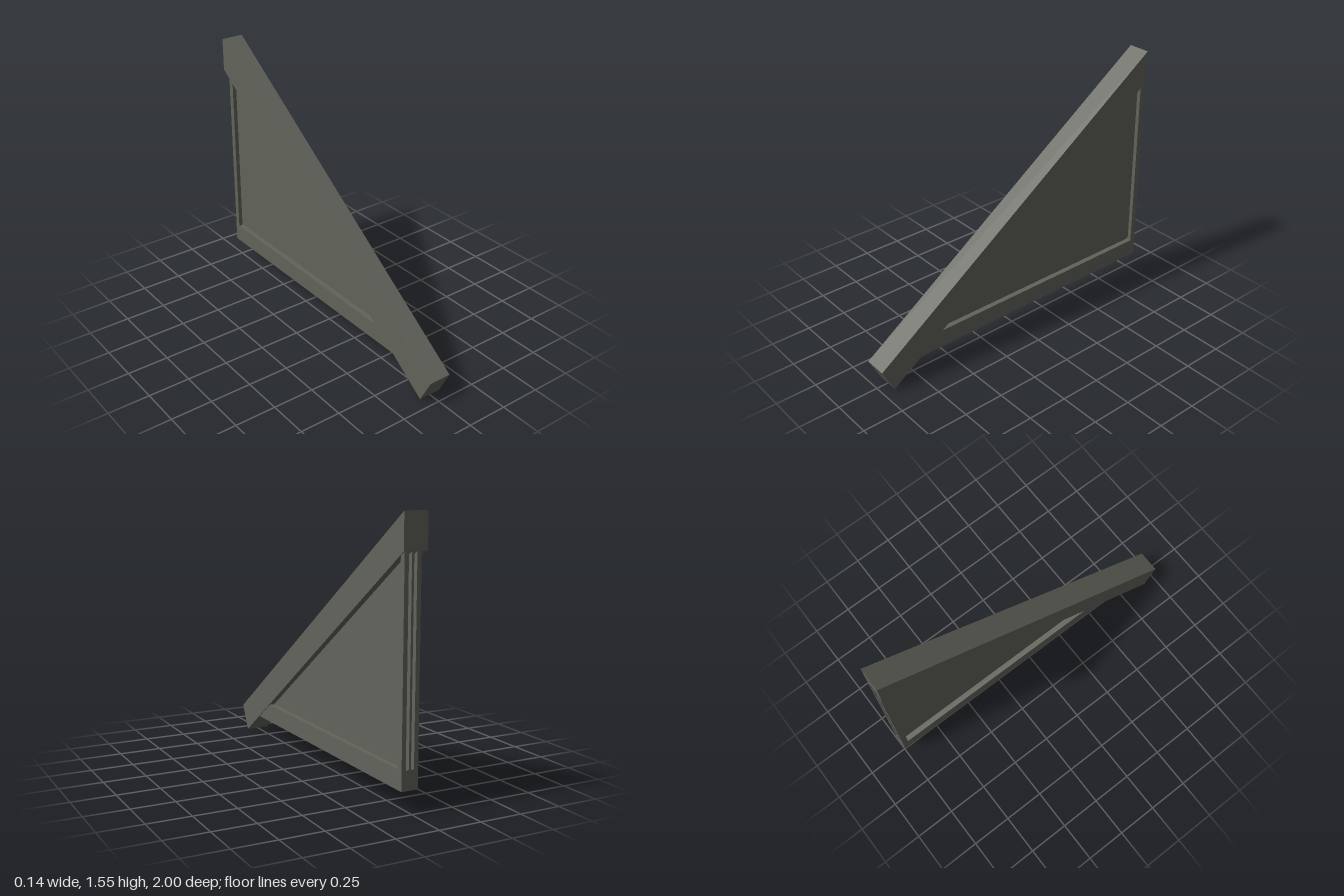
import * as THREE from 'three';

export function createModel() {
  const group = new THREE.Group();
  const greyWood = new THREE.MeshStandardMaterial({ color: 0x62645b });

  // Extrude a side profile of [z, y] points between two x positions
  function slab(name, x0, x1, points) {
    const shape = new THREE.Shape(points.map(([z, y]) => new THREE.Vector2(-z, y)));
    const geometry = new THREE.ExtrudeGeometry(shape, { depth: x1 - x0, bevelEnabled: false });
    geometry.rotateY(Math.PI / 2).translate(x0, 0, 0);
    const mesh = new THREE.Mesh(geometry, greyWood);
    mesh.name = name;
    group.add(mesh);
  }
  const rect = (z0, z1, y0, y1) => [[z1, y0], [z0, y0], [z0, y1], [z1, y1]];

  // Sloping rafter with a square-cut foot and a plumb-cut top
  slab('rafter', -0.07, 0.07, [[1, 0.15], [0.925, 0], [-1, 1.35], [-1, 1.547]]);

  // Lower frame: paired outer rails and posts, set slightly to one side
  for (const [x0, x1] of [[0.04, 0.065], [-0.034, -0.009]]) {
    slab('bottomRail', x0, x1, [[0.75, 0.13], [-1, 0.13], [-1, 0.24], [0.59, 0.24]]);
    slab('backPost', x0, x1, rect(-1, -0.965, 0.24, 1.36));
  }

  // Core of the bottom beam, with a shallow groove beneath, and its closed end
  slab('bottomCore', -0.009, 0.04, [[0.73, 0.14], [-0.965, 0.14], [-0.965, 0.24], [0.59, 0.24]]);
  slab('bottomEndBlock', -0.009, 0.04, rect(-1, -0.965, 0.13, 0.24));
  slab('bottomBatten', 0.009, 0.022, rect(-0.965, 0.73, 0.13, 0.14));

  // Recessed triangular infill and the batten between the posts
  slab('infillPanel', -0.002, 0.033, [[0.59, 0.24], [-0.965, 0.24], [-0.965, 1.34]]);
  slab('backBatten', 0.009, 0.022, rect(-1, -0.965, 0.24, 1.36));

  return group;
}
